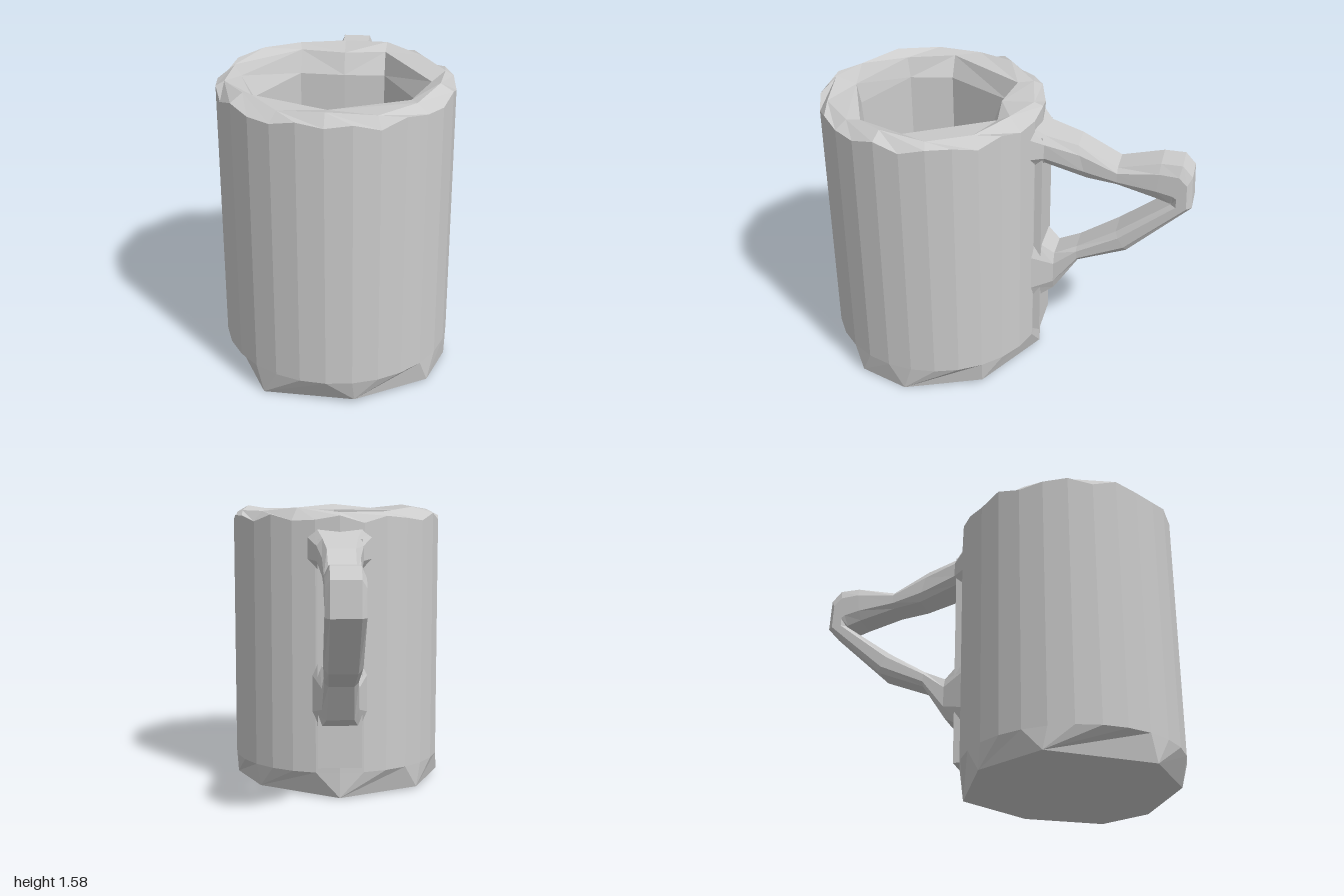
import * as THREE from 'three';

const CZ = 0.405; // centre of the cup along z
const TAU = Math.PI * 2;
const angleOf = p => (Math.atan2(p.x, p.z - CZ) + TAU) % TAU;
const sorted = pts => pts.sort((a, b) => angleOf(a) - angleOf(b));

// Ring from [x, z] corners at one height, or from [x, z, y] corners
const ring = (corners, y) => sorted(corners.map(c => new THREE.Vector3(c[0], c[2] ?? y, c[1])));

// Round ring whose radius and height can vary per corner
function roundRing(n, radius, height) {
  const pts = [];
  for (let i = 0; i < n; i++) {
    const a = i / n * TAU + 0.001, r = radius(i);
    pts.push(new THREE.Vector3(Math.sin(a) * r, height(i), CZ + Math.cos(a) * r));
  }
  return sorted(pts);
}

// Joins two rings with different corner counts, advancing by angle
function bridge(out, a, b) {
  const at = (r, i) => r[i % r.length];
  const next = (r, i) => r.length === 1 || i >= r.length ? Infinity : angleOf(at(r, i + 1)) + (i + 1 >= r.length ? TAU : 0);
  let i = 0, j = 0;
  for (;;) {
    const na = next(a, i), nb = next(b, j);
    if (na === Infinity && nb === Infinity) break;
    if (na <= nb) {
      out.push(at(a, i), at(a, i + 1), at(b, j));
      i++;
    } else {
      out.push(at(a, i), at(b, j + 1), at(b, j));
      j++;
    }
  }
}

function meshFrom(name, tris, material) {
  const geometry = new THREE.BufferGeometry().setFromPoints(tris);
  geometry.computeVertexNormals();
  const mesh = new THREE.Mesh(geometry, material);
  mesh.name = name;
  return mesh;
}

function loft(name, rings, material) {
  const tris = [];
  for (let i = 0; i + 1 < rings.length; i++) bridge(tris, rings[i], rings[i + 1]);
  return meshFrom(name, tris, material);
}

export function createModel() {
  const group = new THREE.Group();
  const material = new THREE.MeshStandardMaterial({ color: 0xcccccc, flatShading: true, side: THREE.DoubleSide });
  const centre = y => [new THREE.Vector3(0, y, CZ)];

  // Chipped octagonal foot
  const foot = ring([[0.14, 0.95, 0.025], [0.5, 0.72, 0.01], [0.585, 0.45, 0], [0.44, 0.04, 0.02],
    [0, -0.19, 0.005], [-0.44, 0.02, 0.01], [-0.595, 0.38, 0.025], [-0.33, 0.89, 0]]);
  const wallBottom = roundRing(28, () => 0.592, () => 0.145);
  group.add(loft('base', [centre(0.005), foot, wallBottom], material));

  // Outer wall with an uneven upper edge
  const wallTop = roundRing(28, () => 0.592, i => 1.525 + 0.022 * Math.sin(i * 2.4));
  group.add(loft('outerWall', [wallBottom, wallTop], material));

  // Rim: chipped crest sloping in to the angular opening
  const crest = roundRing(14, i => 0.535 + 0.015 * Math.sin(i * 1.9), i => 1.568 + 0.015 * Math.cos(i * 2.1));
  const opening = ring([[0, 0.83], [0.38, 0.67], [0.47, 0.42], [0.22, 0], [0.01, 0.03],
    [-0.22, 0], [-0.47, 0.42], [-0.38, 0.67]], 1.55);
  group.add(loft('rim', [wallTop, crest, opening], material));

  // Inside walls and floor
  const inner = [[0, 0.81], [0.36, 0.65], [0.41, 0.42], [0.22, 0.06], [0.01, 0.07],
    [-0.22, 0.06], [-0.41, 0.42], [-0.36, 0.65]];
  const floor = ring(inner, 0.15);
  group.add(loft('innerWall', [opening, ring(inner, 1.44), floor], material));
  group.add(loft('innerFloor', [floor, centre(0.15)], material));

  // Handle stations: outer z, y, inner z, y, half width
  const stations = [
    [-0.12, 1.52, -0.12, 1.25, 0.2], [-0.22, 1.425, -0.22, 1.265, 0.125], [-0.39, 1.38, -0.44, 1.195, 0.1],
    [-0.6, 1.275, -0.6, 1.175, 0.095], [-0.82, 1.33, -0.8, 1.125, 0.1], [-0.93, 1.33, -0.88, 1.1, 0.1],
    [-0.985, 1.27, -0.89, 1.1, 0.1], [-0.995, 1.09, -0.885, 1.095, 0.1], [-0.67, 0.775, -0.61, 0.885, 0.1],
    [-0.41, 0.665, -0.4, 0.75, 0.09], [-0.28, 0.46, -0.28, 0.69, 0.1], [-0.16, 0.38, -0.16, 0.79, 0.15]];
  // Chamfered section: [side, position from outer to inner]
  const section = [[0.75, 0], [1, 0.25], [1, 0.75], [0.75, 1], [-0.75, 1], [-1, 0.75], [-1, 0.25], [-0.75, 0]];
  const loops = stations.map(([oz, oy, iz, iy, w]) => section.map(([s, t]) =>
    new THREE.Vector3(s * w, oy + (iy - oy) * t, oz + (iz - oz) * t)));
  const tris = [];
  for (let k = 0; k + 1 < loops.length; k++) {
    for (let i = 0; i < 8; i++) {
      const j = (i + 1) % 8, a = loops[k], b = loops[k + 1];
      tris.push(a[i], b[j], b[i], a[i], a[j], b[j]);
    }
  }
  // Reverse each triangle so the section faces outward
  for (let i = 0; i < tris.length; i += 3) [tris[i + 1], tris[i + 2]] = [tris[i + 2], tris[i + 1]];
  group.add(meshFrom('handle', tris, material));

  // Mounting strip up the back of the cup
  const strip = new THREE.Mesh(new THREE.BoxGeometry(0.24, 1.24, 0.08), material);
  strip.name = 'handleStrip';
  strip.position.set(0, 0.8, -0.172);
  group.add(strip);

  return group;
}
